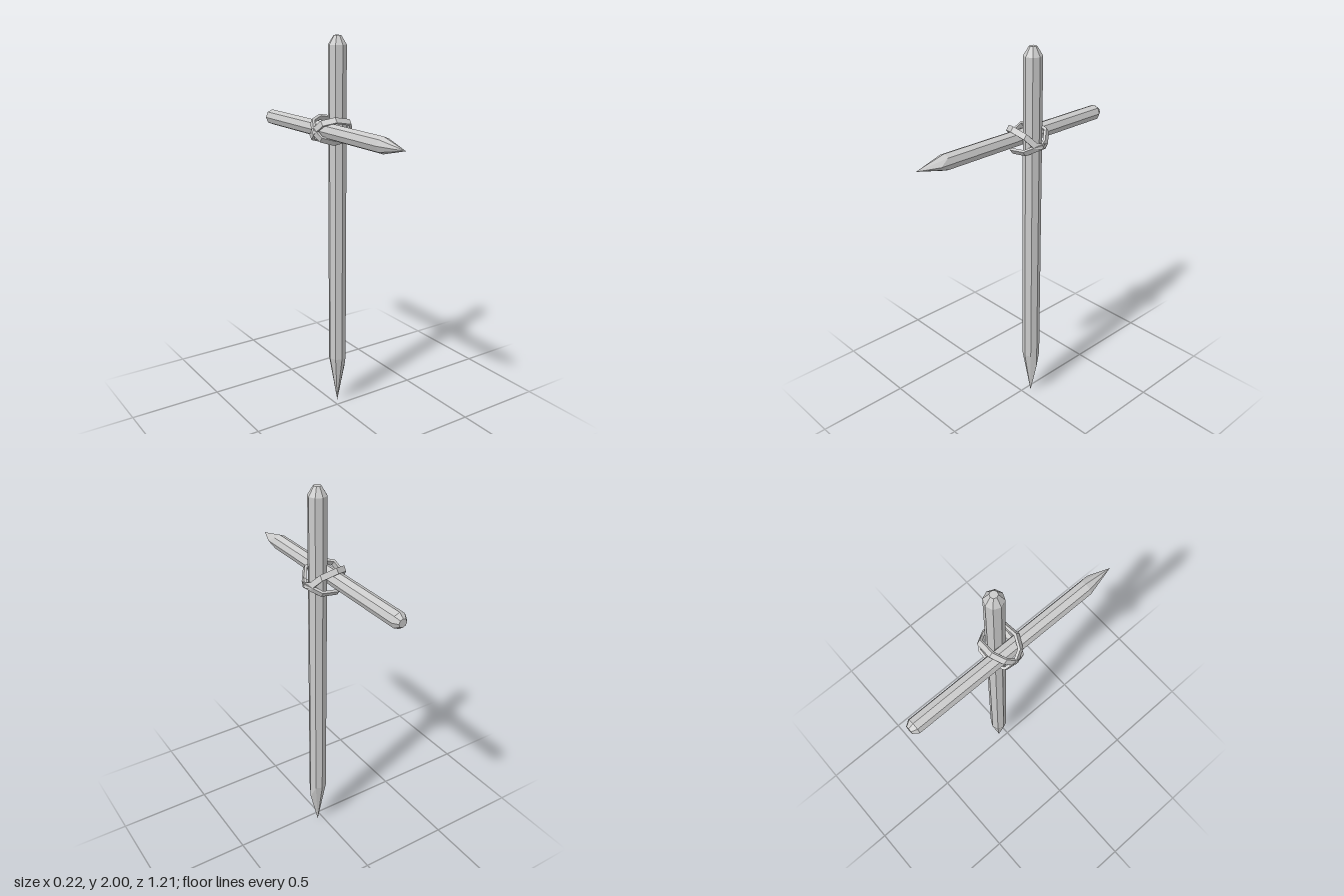
import * as THREE from 'three';

const material = new THREE.MeshStandardMaterial({ color: 0xcccccc, flatShading: true });

// Eight-sided stake, tip at y = 0, bevelled blunt end at y = length.
// The cut of the point runs lower on the +x edge.
function makeStake(name, { length, radius, taper, dip, bevel, capRadius }) {
  const profile = [
    [0, 0], [radius, taper], [radius, length - bevel], [capRadius, length], [0, length],
  ].map(([r, y]) => new THREE.Vector2(r, y));
  const geometry = new THREE.LatheGeometry(profile, 8);
  const pos = geometry.attributes.position;
  for (let i = 0; i < pos.count; i++) {
    if (Math.abs(pos.getY(i) - taper) < 1e-4 && pos.getX(i) > radius * 0.9) pos.setY(i, taper - dip);
  }
  geometry.computeVertexNormals();
  const mesh = new THREE.Mesh(geometry, material);
  mesh.name = name;
  return mesh;
}

// Flat strap swept round a closed diagonal loop; side (+1 / -1) picks the diagonal.
function makeStrap(name, side, width, thickness) {
  // x, height offset, depth offset
  const path = [
    [-0.11, 0, 0], [-0.09, 0.042, 0.045], [-0.03, 0.056, 0.074], [0.055, 0.04, 0.071],
    [0.083, -0.003, 0.036], [0.1, -0.013, 0],
    [0.083, -0.022, -0.036], [0.05, -0.042, -0.071], [-0.035, -0.053, -0.074], [-0.095, -0.035, -0.045],
  ].map(([x, y, z]) => new THREE.Vector3(x, y, z * side));
  const across = new THREE.Vector3(1, 0, 0)
    .cross(new THREE.Vector3(0, 0.056, 0.074 * side)).normalize();
  const corners = [[1, 1], [1, -1], [-1, -1], [-1, 1]];
  const n = path.length;
  const positions = [];
  const index = [];
  path.forEach((p, i) => {
    const tangent = path[(i + 1) % n].clone().sub(path[(i + n - 1) % n]);
    const out = across.clone().cross(tangent).normalize();
    corners.forEach(([o, w], k) => {
      const v = p.clone().addScaledVector(out, o * thickness / 2).addScaledVector(across, w * width / 2);
      positions.push(v.x, v.y, v.z);
      const a = i * 4 + k, b = i * 4 + (k + 1) % 4;
      const c = ((i + 1) % n) * 4 + k, d = ((i + 1) % n) * 4 + (k + 1) % 4;
      index.push(a, c, d, a, d, b);
    });
  });
  const geometry = new THREE.BufferGeometry();
  geometry.setAttribute('position', new THREE.Float32BufferAttribute(positions, 3));
  geometry.setIndex(index);
  geometry.computeVertexNormals();
  const mesh = new THREE.Mesh(geometry, material);
  mesh.name = name;
  return mesh;
}

export function createModel() {
  const model = new THREE.Group();
  model.name = 'lashedStakes';

  // Tall upright stake
  const upright = makeStake('uprightStake', {
    length: 2, radius: 0.047, taper: 0.27, dip: 0.075, bevel: 0.045, capRadius: 0.019,
  });
  upright.position.set(0.03, 0, -0.045);

  // Shorter crossbar with its point to the front
  const crossbar = makeStake('crossbarStake', {
    length: 1.205, radius: 0.041, taper: 0.16, dip: 0.05, bevel: 0.027, capRadius: 0.022,
  });
  crossbar.rotation.x = -Math.PI / 2;
  crossbar.position.set(-0.046, 1.54, 0.6);

  // Two straps crossing over the joint
  const lashing = new THREE.Group();
  lashing.name = 'lashing';
  lashing.add(makeStrap('strapA', 1, 0.03, 0.014), makeStrap('strapB', -1, 0.03, 0.014));
  lashing.position.set(0, 1.54, -0.045);

  model.add(upright, crossbar, lashing);
  return model;
}
